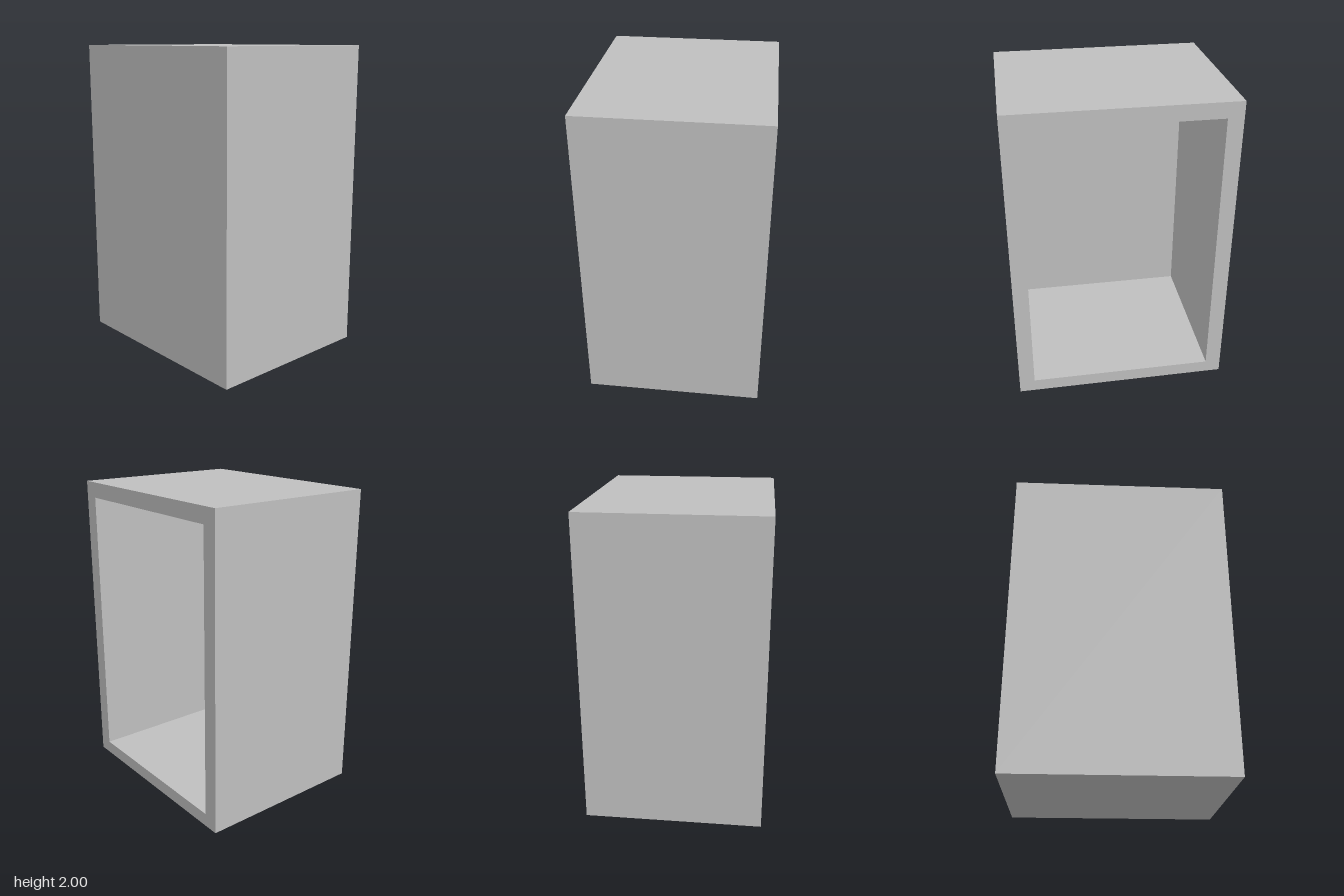
import * as THREE from 'three';

const W = 1.39, H = 2, D = 1.14;
const SIDE = 0.1, TOP = 0.1, BOTTOM = 0.085, FRONT = 0.1;

// Corner points of an upright rectangle
function rectangle(x, y0, y1) {
  return [[-x, y0], [x, y0], [x, y1], [-x, y1]].map(([a, b]) => new THREE.Vector2(a, b));
}

export function createModel() {
  const model = new THREE.Group();
  model.name = 'openCabinet';

  const grey = new THREE.MeshStandardMaterial({ color: 0xbfbfbf });
  grey.name = 'light grey';

  // Side walls, top and floor as one frame, open at the back
  const outline = new THREE.Shape(rectangle(W / 2, 0, H));
  outline.holes.push(new THREE.Path(rectangle(W / 2 - SIDE, BOTTOM, H - TOP)));
  const frame = new THREE.Mesh(
    new THREE.ExtrudeGeometry(outline, { depth: D - FRONT, bevelEnabled: false }), grey);
  frame.position.z = -D / 2;
  frame.name = 'cabinetFrame';

  // Closed front
  const front = new THREE.Mesh(new THREE.BoxGeometry(W, H, FRONT), grey);
  front.position.set(0, H / 2, D / 2 - FRONT / 2);
  front.name = 'frontPanel';

  model.add(frame, front);
  return model;
}
